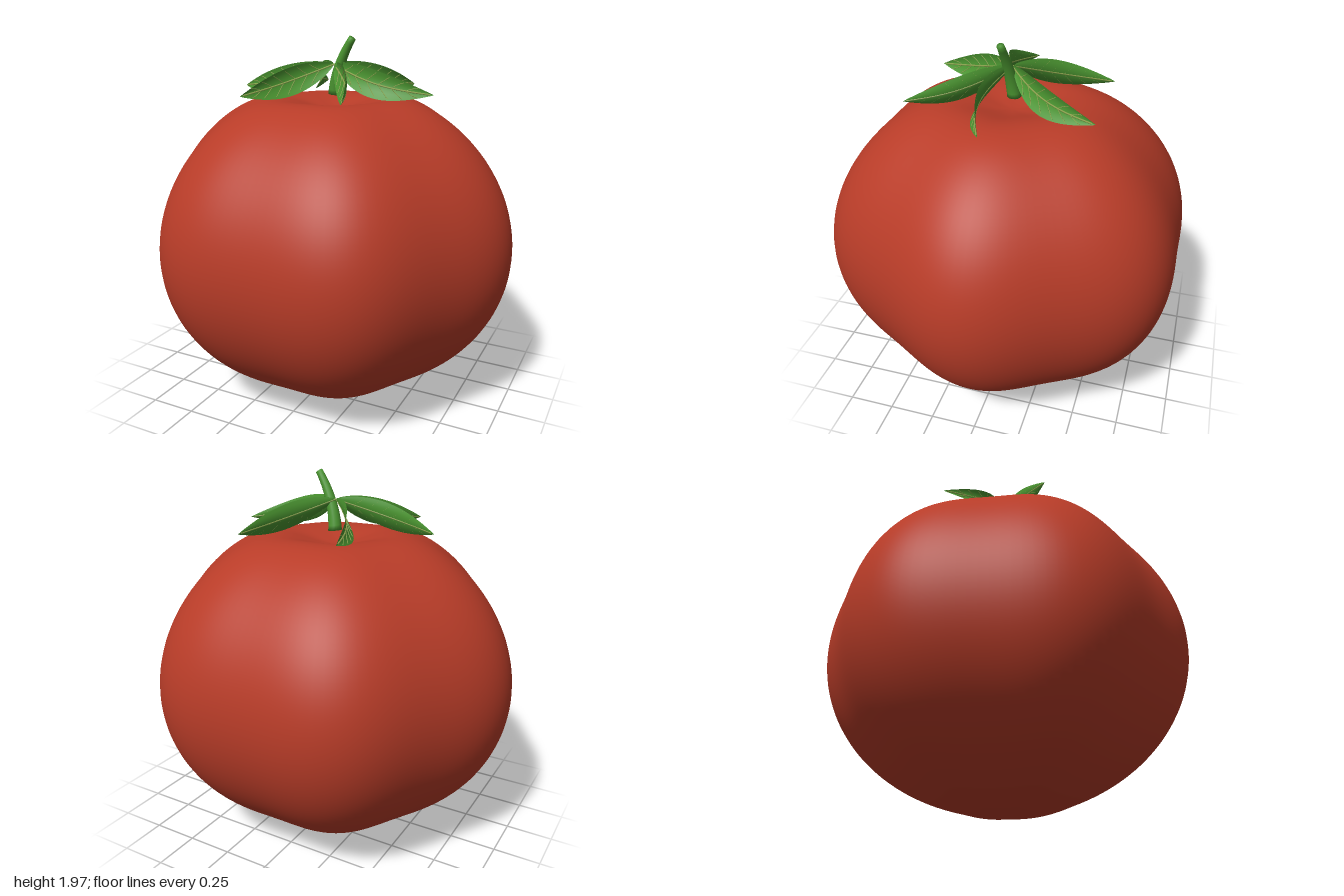
import * as THREE from 'three';
import { mergeVertices, mergeGeometries } from 'three/addons/utils/BufferGeometryUtils.js';

const red = new THREE.MeshStandardMaterial({ color: 0xb83c28 });
red.name = 'tomato red';
const green = new THREE.MeshStandardMaterial({ color: 0x4a9430, side: THREE.DoubleSide });
green.name = 'leaf green';
const pale = new THREE.MeshStandardMaterial({ color: 0x8fa850 });
pale.name = 'vein green';

// Moves every vertex by a rule and rebuilds smooth normals without seams
function reshape(geometry, rule) {
  const p = geometry.attributes.position;
  const v = new THREE.Vector3();
  for (let i = 0; i < p.count; i++) {
    rule(v.fromBufferAttribute(p, i));
    p.setXYZ(i, v.x, v.y, v.z);
  }
  geometry.deleteAttribute('uv');
  geometry.deleteAttribute('normal');
  const merged = mergeVertices(geometry, 1e-5);
  merged.computeVertexNormals();
  return merged;
}

function part(geometry, material, name) {
  const mesh = new THREE.Mesh(geometry, material);
  mesh.name = name;
  return mesh;
}

// Six-lobed fruit with a dimple under the stem
function createFruit() {
  const geometry = reshape(new THREE.SphereGeometry(1, 120, 80), (v) => {
    const rho = Math.hypot(v.x, v.z);
    const lobe = 0.9675 + 0.0325 * Math.cos(6 * Math.atan2(v.z, v.x));
    const dip = v.y > 0 ? 0.15 * Math.exp(-((rho / 0.3) ** 2)) : 0;
    v.set(v.x * lobe, 0.87 + 0.87 * v.y - dip, v.z * lobe);
  });
  return part(geometry, red, 'fruit');
}

// Tapered stem bent along a curve
function createStem() {
  const curve = new THREE.QuadraticBezierCurve3(
    new THREE.Vector3(0.0, 1.665, -0.01),
    new THREE.Vector3(0.015, 1.82, 0.01),
    new THREE.Vector3(0.118, 1.963, 0.026));
  const geometry = reshape(new THREE.CylinderGeometry(0.019, 0.037, 1, 16, 12), (v) => {
    const t = THREE.MathUtils.clamp(v.y + 0.5, 0, 1);
    const c = curve.getPoint(t);
    const d = curve.getTangent(t);
    const a = Math.atan2(d.x, d.y);
    v.set(c.x + v.x * Math.cos(a), c.y - v.x * Math.sin(a), c.z + v.z);
  });
  return part(geometry, green, 'stem');
}

// Point on an upright, cupped leaf: t runs along it, s across it from -1 to 1
function leafPoint(t, s, bow, side, lift = 0) {
  const w = 0.07 * Math.pow(Math.sin(Math.PI * Math.pow(Math.min(t, 0.9999), 0.85)), 0.9);
  const arch = Math.sin(Math.PI * t);
  const z = bow * arch - 0.25 * w * s + 0.3 * w * s * s + lift;
  return new THREE.Vector3(0.56 * t, 1.825 - 0.135 * t - 0.018 * arch + w * s, z * side);
}

function createLeaf(angle, bow, side) {
  const leaf = new THREE.Group();
  leaf.name = 'leaf';
  const blade = reshape(new THREE.PlaneGeometry(1, 2, 24, 8), (v) => {
    v.copy(leafPoint(v.x + 0.5, v.y, bow, side));
  });
  leaf.add(part(blade, green, 'blade'));

  // Midrib and paired side veins
  const line = (t0, t1, s1, radius) => {
    const points = [];
    for (let i = 0; i <= 8; i++) {
      const k = i / 8;
      points.push(leafPoint(t0 + (t1 - t0) * k, s1 * k, bow, side, 0.002));
    }
    return new THREE.TubeGeometry(new THREE.CatmullRomCurve3(points), 12, radius, 5);
  };
  const veins = [line(0, 0.97, 0, 0.0045)];
  for (let i = 0; i < 6; i++) {
    const t = 0.14 + i * 0.125;
    for (const s of [-0.85, 0.85]) veins.push(line(t, t + 0.11, s, 0.002));
  }
  leaf.add(part(mergeGeometries(veins), pale, 'veins'));
  leaf.rotation.y = -angle;
  return leaf;
}

export function createModel() {
  const model = new THREE.Group();
  model.name = 'tomato';
  model.add(createFruit(), createStem());

  // Three leaves on the left, mirrored to the right
  for (const [degrees, bow] of [[0, 0.08], [60, -0.04], [-60, 0.05]]) {
    const a = THREE.MathUtils.degToRad(degrees);
    model.add(createLeaf(a, bow, 1), createLeaf(Math.PI - a, bow, -1));
  }
  return model;
}
